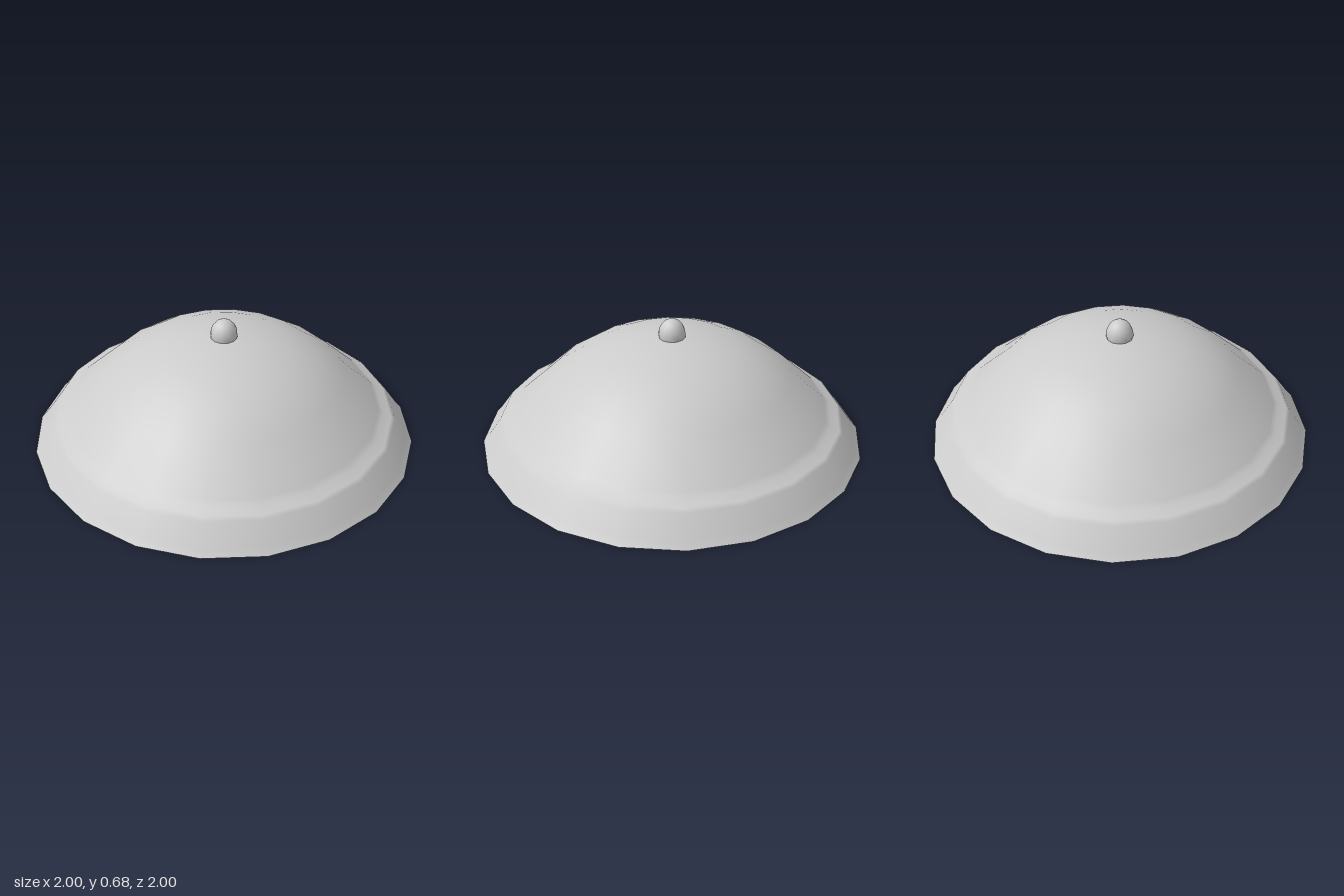
import * as THREE from 'three';

const SIDES = 20;

export function createModel() {
  const group = new THREE.Group();
  const material = new THREE.MeshStandardMaterial({ color: 0xcccccc });

  const add = (name, geometry) => {
    const mesh = new THREE.Mesh(geometry, material);
    mesh.name = name;
    group.add(mesh);
    return mesh;
  };
  const lathe = (name, points) =>
    add(name, new THREE.LatheGeometry(points.map(([r, y]) => new THREE.Vector2(r, y)), SIDES));

  // Outer skin: flared skirt, small shoulder step, then the dome
  lathe('domeOuter', [
    [1, 0], [0.97, 0.035], [0.9, 0.135], [0.88, 0.148], [0.835, 0.168], [0.81, 0.19], [0.62, 0.37],
    [0.48, 0.465], [0.335, 0.532], [0.18, 0.571], [0.06, 0.584], [0, 0.585],
  ]);

  // Inner skin, following the outer one at wall thickness
  lathe('domeInner', [
    [0, 0.562], [0.06, 0.561], [0.175, 0.549], [0.325, 0.511], [0.465, 0.446],
    [0.605, 0.352], [0.79, 0.175], [0.82, 0.15], [0.865, 0.13], [0.88, 0.12], [0.945, 0.03], [0.97, 0],
  ]);

  // Flat lip joining the two skins
  lathe('rim', [[0.97, 0], [1, 0]]);

  // Egg-shaped knob set through the crown
  const knob = add('knob', new THREE.SphereGeometry(0.07, 12, 10));
  knob.scale.y = 1.2;
  knob.position.y = 0.598;

  return group;
}
